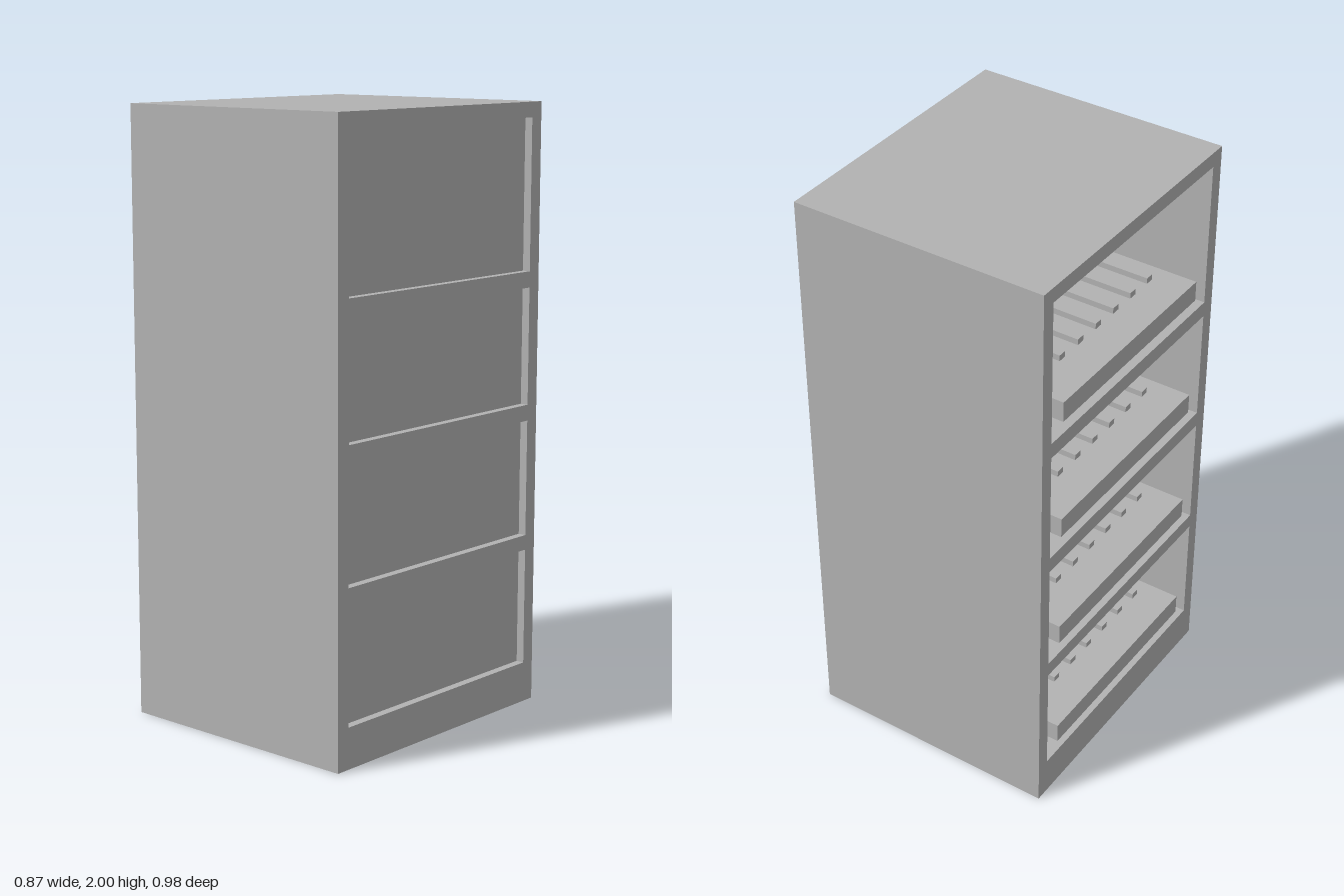
import * as THREE from 'three';

const W = 0.874, H = 2, D = 0.982;   // overall size in x, y, z
const OPEN_Z = 0.443;                // half width of each bay
const BAYS = [[0.135, 0.525], [0.575, 0.962], [1.015, 1.402], [1.455, 1.95]];

export function createModel() {
  const model = new THREE.Group();
  const grey = new THREE.MeshStandardMaterial({ color: 0xb2b2b2 });
  grey.name = 'grey';

  const add = (parent, name, geometry, x = 0, y = 0, z = 0) => {
    const mesh = new THREE.Mesh(geometry, grey);
    mesh.name = name;
    mesh.position.set(x, y, z);
    parent.add(mesh);
  };

  // Rectangle outline, symmetric in z
  const outline = (path, half, y0, y1) =>
    path.moveTo(-half, y0).lineTo(half, y0).lineTo(half, y1).lineTo(-half, y1).closePath();

  // Cabinet shell: one block with four bays cut through along x
  const profile = outline(new THREE.Shape(), D / 2, 0, H);
  for (const [y0, y1] of BAYS) profile.holes.push(outline(new THREE.Path(), OPEN_Z, y0, y1));
  const shell = new THREE.ExtrudeGeometry(profile, { depth: W, bevelEnabled: false });
  shell.translate(0, 0, -W / 2).rotateY(-Math.PI / 2);
  add(model, 'cabinetShell', shell);

  BAYS.forEach(([y0, y1], i) => {
    const bay = new THREE.Group();
    bay.name = `bay${i + 1}`;
    model.add(bay);

    // Recessed panel closing the bay on the +x side
    add(bay, 'closingPanel', new THREE.BoxGeometry(0.025, y1 - y0, OPEN_Z * 2),
      0.397, (y0 + y1) / 2, 0);

    // Tray floating above the bay floor, flush with the open side
    const trayBottom = y0 + 0.042, trayHeight = 0.07;
    add(bay, 'tray', new THREE.BoxGeometry(0.82, trayHeight, 0.762),
      -W / 2 + 0.41, trayBottom + trayHeight / 2, 0);

    // Row of ribs along x on the tray
    for (let k = -3; k <= 3; k++)
      add(bay, 'rib', new THREE.BoxGeometry(0.6, 0.02, 0.03),
        -0.015, trayBottom + trayHeight + 0.01, k * 0.1);
  });

  return model;
}
